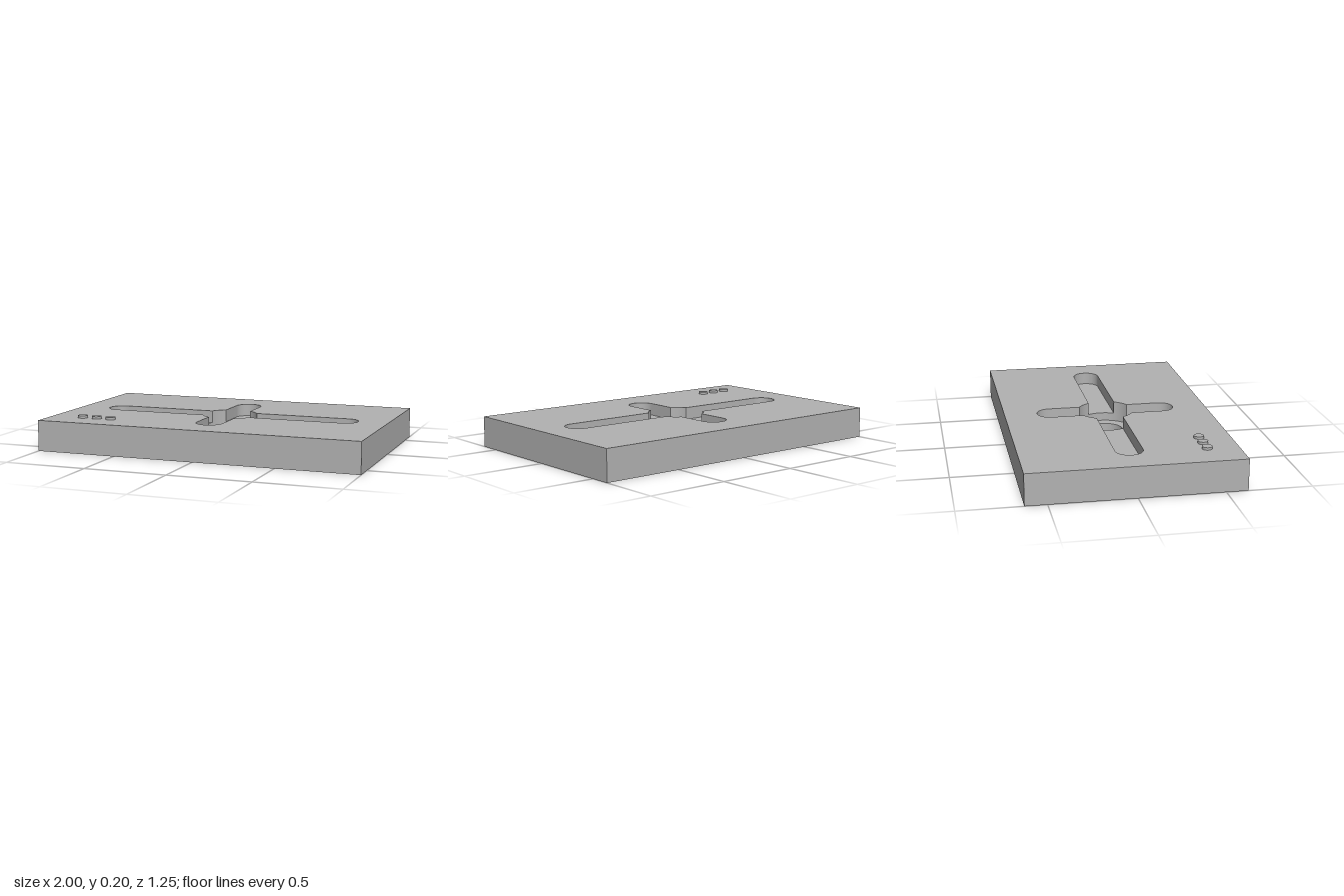
import * as THREE from 'three';
import { toCreasedNormals } from 'three/addons/utils/BufferGeometryUtils.js';

const HALF_X = 1, HALF_Z = 0.627;
const TOP = 0.1875, SLOT_Y = 0.1125, RECESS_Y = 0.0625;
const BORE_R = 0.105, RECESS_R = 0.17, SLOT_W = 0.081; // slot half width
const REACH = [0.82, 0.427, 0.82, 0.427]; // slot tips, one per quarter turn
const Q = Math.PI / 2;
const CORNER = Math.asin(SLOT_W / RECESS_R); // where a slot wall meets the recess

// Points on an arc in plan (x, -z), centred at distance cx along a direction
function arc(r, a0, a1, n, cx = 0, turn = 0) {
  return Array.from({ length: n + 1 }, (_, i) => {
    const a = a0 + (a1 - a0) * i / n;
    return new THREE.Vector2(cx + r * Math.cos(a), r * Math.sin(a))
      .rotateAround(new THREE.Vector2(), turn);
  });
}

// Flat horizontal face with optional hole
function face(outline, hole, y, down = false) {
  const shape = new THREE.Shape(outline);
  if (hole) shape.holes.push(new THREE.Path(hole));
  return new THREE.ShapeGeometry(shape).rotateX(down ? Q : -Q).translate(0, y, 0);
}

// Vertical wall along a closed outline; inward walls face the inside of a pocket
function wall(outline, y0, y1, inward = false) {
  const pts = inward ? [...outline].reverse() : outline;
  const pos = [];
  pts.forEach((p, i) => {
    const q = pts[(i + 1) % pts.length];
    if (p.distanceTo(q) < 1e-6) return;
    pos.push(p.x, y0, -p.y, q.x, y0, -q.y, q.x, y1, -q.y);
    pos.push(p.x, y0, -p.y, q.x, y1, -q.y, p.x, y1, -p.y);
  });
  const g = new THREE.BufferGeometry();
  g.setAttribute('position', new THREE.Float32BufferAttribute(pos, 3));
  return toCreasedNormals(g, 0.5);
}

export function createModel() {
  const model = new THREE.Group();
  model.name = 'slottedPlate';
  const grey = new THREE.MeshStandardMaterial({ color: 0xb2b2b2 });
  grey.name = 'plain grey';
  const add = (name, geometry) => {
    const mesh = new THREE.Mesh(geometry, grey);
    mesh.name = name;
    model.add(mesh);
    return mesh;
  };

  // Outlines in plan
  const block = [[-1, -1], [1, -1], [1, 1], [-1, 1]]
    .map(([x, z]) => new THREE.Vector2(x * HALF_X, z * HALF_Z));
  const bore = arc(BORE_R, 0, 2 * Math.PI, 64).slice(0, -1);
  const cross = [], recess = [];
  REACH.forEach((reach, k) => {
    const turn = k * Q;
    const tip = arc(SLOT_W, -Q, Q, 24, reach - SLOT_W, turn);
    const mouth = arc(RECESS_R, -CORNER, CORNER, 16, 0, turn);
    const between = arc(RECESS_R, CORNER, Q - CORNER, 10, 0, turn);
    cross.push(...tip, ...between);
    recess.push(...mouth.slice(0, -1), ...between.slice(0, -1));
    // Floor of one slot, ending at the round recess
    add('slotFloor', face([...tip, ...mouth.reverse()], null, SLOT_Y));
  });

  // Plate skin
  add('plateSides', wall(block, 0, TOP));
  add('plateTop', face(block, cross, TOP));
  add('plateBottom', face(block, bore, 0, true));

  // Crossed slots, stepped recess and through bore
  add('slotWalls', wall(cross, SLOT_Y, TOP, true));
  add('recessWall', wall(recess, RECESS_Y, SLOT_Y, true));
  add('recessFloor', face(recess, bore, RECESS_Y));
  add('boreWall', wall(bore, 0, RECESS_Y, true));

  // Three small studs near the front right corner
  for (const x of [-0.793, -0.7, -0.607]) {
    add('stud', new THREE.CylinderGeometry(0.03, 0.03, 0.025, 32)).position.set(x, 0.19, 0.439);
  }
  return model;
}
